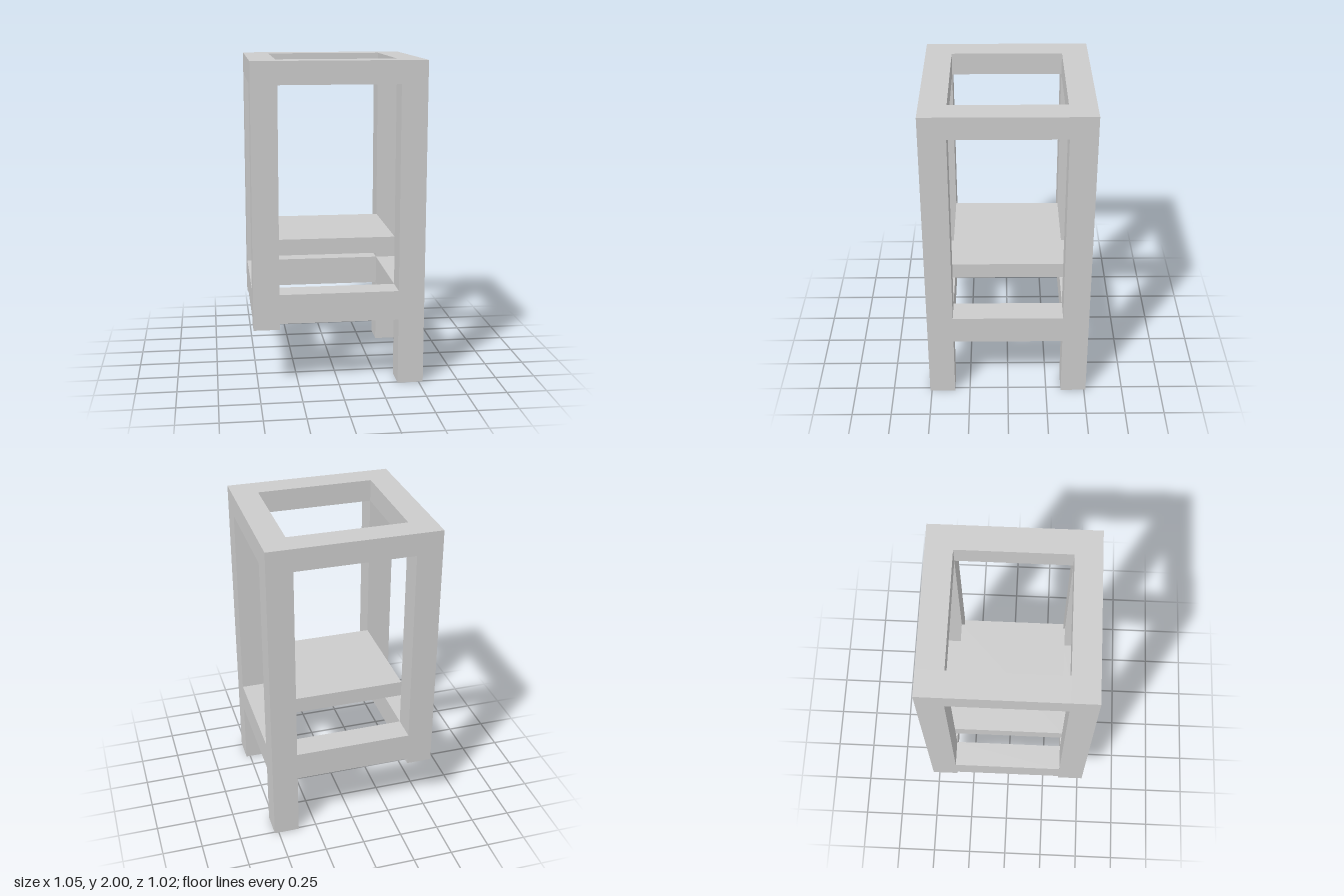
import * as THREE from 'three';

// Outer half extents, leg section and overall height
const HX = 0.527, HZ = 0.511, LX = 0.16, LZ = 0.164, TOP = 2;
const IX = HX - LX, IZ = HZ - LZ; // half size of the inner opening

export function createModel() {
  const group = new THREE.Group();
  const material = new THREE.MeshStandardMaterial({ color: 0xcccccc, flatShading: true });

  // Box spanning y0..y1, centred on (x, z)
  function box(name, width, depth, y0, y1, x = 0, z = 0) {
    const mesh = new THREE.Mesh(new THREE.BoxGeometry(width, y1 - y0, depth), material);
    mesh.position.set(x, (y0 + y1) / 2, z);
    mesh.name = name;
    group.add(mesh);
  }

  // Four legs: the left pair reaches the ground, the right pair is short
  for (const sx of [-1, 1]) {
    for (const sz of [-1, 1]) {
      const name = (sz > 0 ? 'front' : 'back') + (sx > 0 ? 'Left' : 'Right') + 'Leg';
      box(name, LX, LZ, sx > 0 ? 0 : 0.375, TOP, sx * (IX + LX / 2), sz * (IZ + LZ / 2));
    }
  }

  // Upper and lower rails joining the legs
  for (const [level, y0, y1] of [['upper', 1.86, TOP], ['lower', 0.412, 0.595]]) {
    for (const s of [-1, 1]) {
      box(level + (s > 0 ? 'Front' : 'Back') + 'Rail', 2 * IX, LZ, y0, y1, 0, s * (IZ + LZ / 2));
      box(level + (s > 0 ? 'Left' : 'Right') + 'Rail', LX, 2 * IZ, y0, y1, s * (IX + LX / 2), 0);
    }
  }

  // Shelf held between the inner leg corners
  box('shelf', 2 * IX, 2 * IZ, 0.8, 0.9);

  return group;
}
